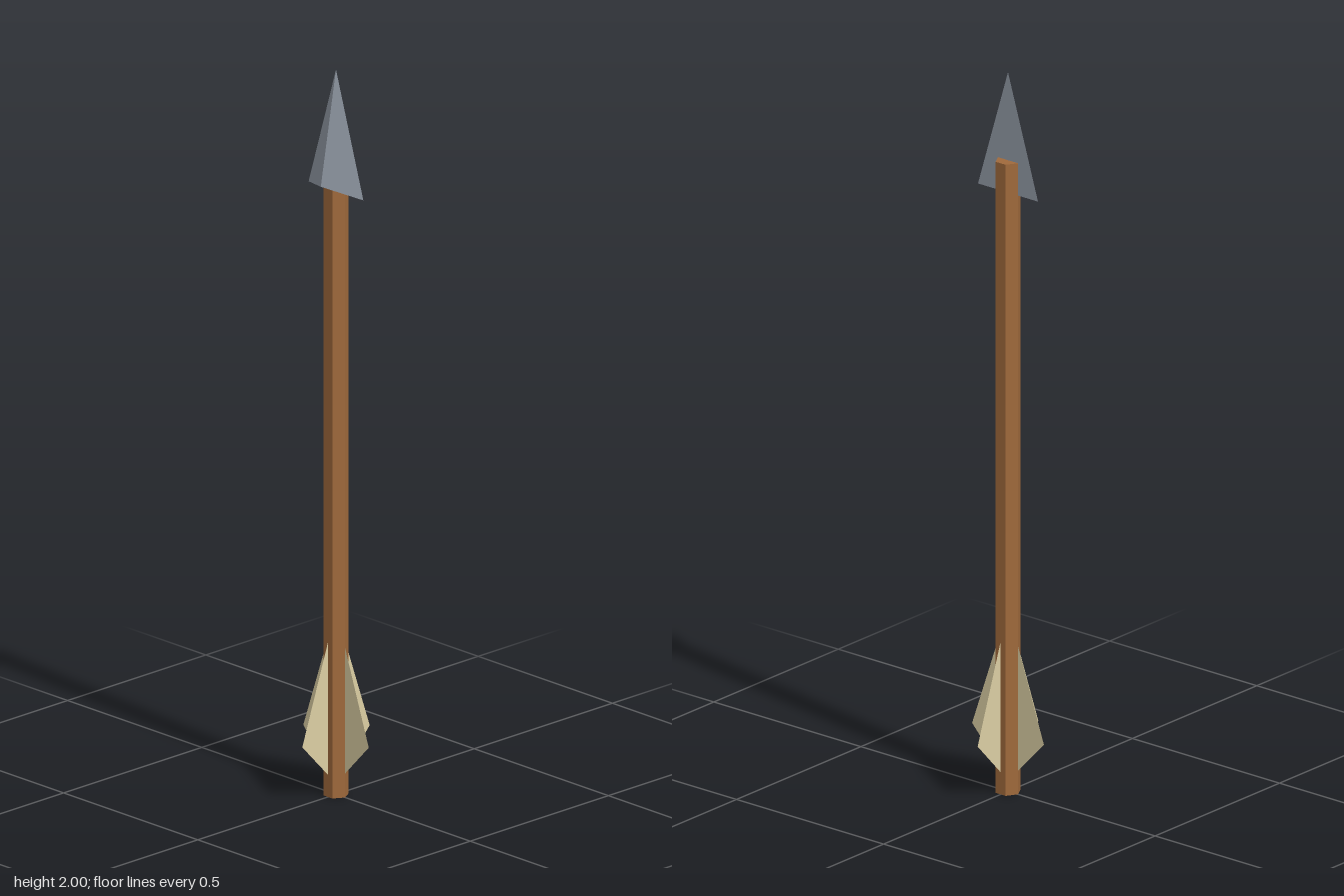
import * as THREE from 'three';

const paint = (color, side = THREE.FrontSide) => {
  const m = new THREE.MeshStandardMaterial({ color, flatShading: true, side });
  return m;
};

export function createModel() {
  const group = new THREE.Group();
  const add = (name, geometry, material) => {
    const mesh = new THREE.Mesh(geometry, material);
    mesh.name = name;
    group.add(mesh);
    return mesh;
  };

  // Hexagonal wooden shaft with corners on the x axis
  const shaftHeight = 1.755;
  const shaft = new THREE.CylinderGeometry(0.034, 0.034, shaftHeight, 6, 1, false, Math.PI / 2);
  add('shaft', shaft.translate(0, shaftHeight / 2, 0), paint(0xa06a3c));

  // Arrowhead: four-sided solid, flat at the back and ridged at the front
  const head = new THREE.BufferGeometry();
  head.setAttribute('position', new THREE.Float32BufferAttribute([
    0, 2, 0, // tip
    -0.102, 1.665, 0, // right barb
    0.102, 1.665, 0, // left barb
    0, 1.69, 0.055, // foot of the ridge
  ], 3));
  head.setIndex([0, 1, 3, 0, 3, 2, 0, 2, 1, 1, 2, 3]);
  const facets = head.toNonIndexed();
  facets.computeVertexNormals();
  add('arrowhead', facets, paint(0x949ca8));

  // Four thin feathers around the tail
  const outline = new THREE.Shape([
    new THREE.Vector2(0, 0.03),
    new THREE.Vector2(0.122, 0.16),
    new THREE.Vector2(0, 0.51),
  ]);
  const featherGeometry = new THREE.ShapeGeometry(outline);
  const featherMaterial = paint(0xdccfa4, THREE.DoubleSide);
  for (let i = 0; i < 4; i++) {
    add(`feather${i + 1}`, featherGeometry, featherMaterial).rotation.y = i * Math.PI / 2;
  }

  return group;
}
